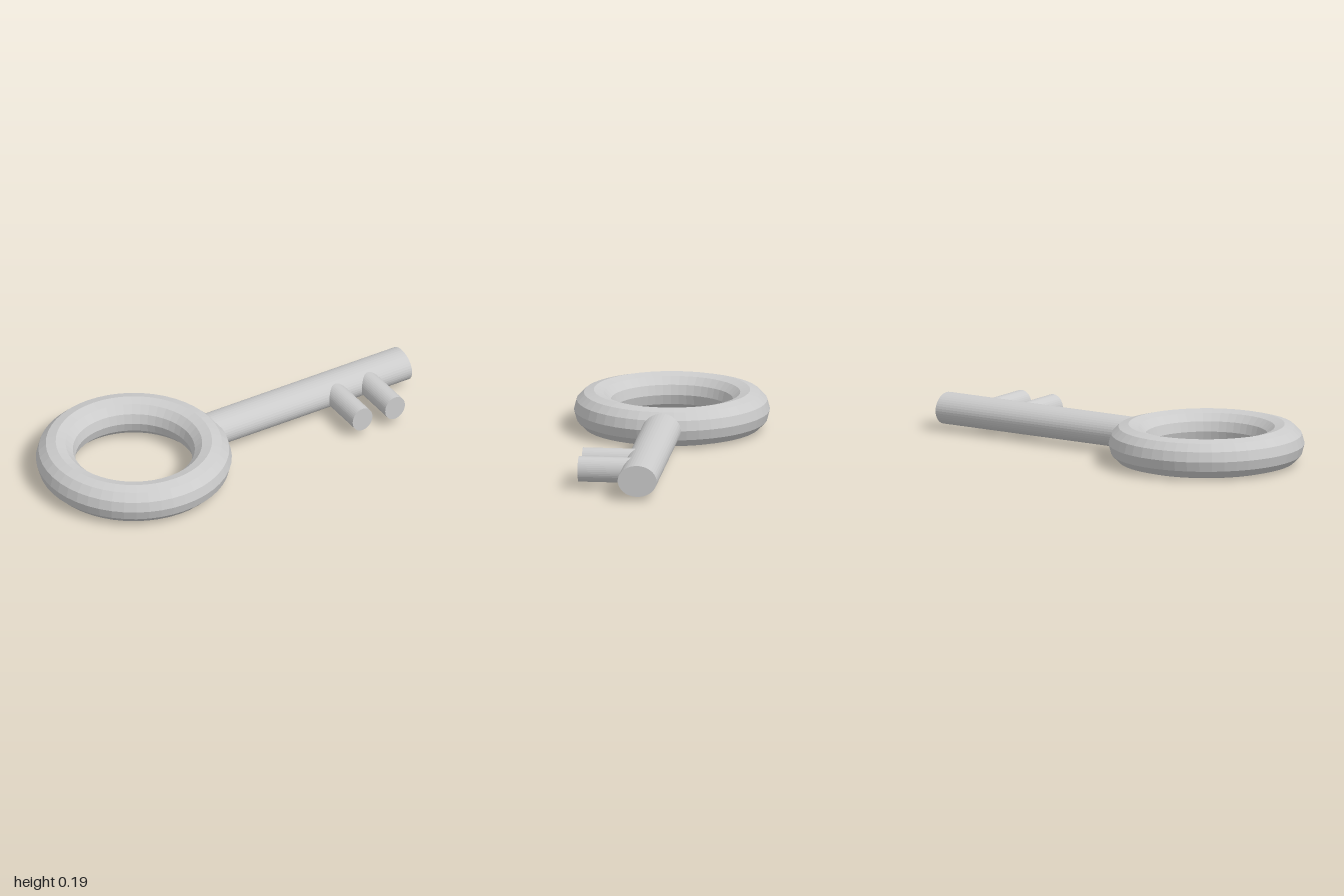
import * as THREE from 'three';

const material = new THREE.MeshStandardMaterial({ color: 0xcccccc, flatShading: true });
const MID_Y = 0.096;

function addMesh(parent, name, geometry, x, y, z) {
  const mesh = new THREE.Mesh(geometry, material);
  mesh.name = name;
  mesh.position.set(x, y, z);
  parent.add(mesh);
  return mesh;
}

export function createModel() {
  const key = new THREE.Group();
  key.name = 'key';

  // Ring handle lying flat
  const ring = new THREE.TorusGeometry(0.379, 0.096, 12, 48).rotateX(Math.PI / 2);
  addMesh(key, 'ringHandle', ring, -0.525, MID_Y, 0);

  // Oval shaft, its inner end buried in the ring
  const start = -0.15, end = 1;
  const shaft = new THREE.CylinderGeometry(1, 1, end - start, 40)
    .rotateZ(-Math.PI / 2)
    .scale(1, 0.077, 0.095);
  addMesh(key, 'shaft', shaft, (start + end) / 2, MID_Y + 0.001, 0);

  // Two oval teeth pointing forward from the shaft
  const bitLength = 0.31;
  for (const [name, x] of [['innerTooth', 0.585], ['outerTooth', 0.77]]) {
    const tooth = new THREE.CylinderGeometry(1, 1, bitLength, 40)
      .rotateX(Math.PI / 2)
      .scale(0.056, 0.062, 1);
    addMesh(key, name, tooth, x, MID_Y + 0.001, bitLength / 2);
  }

  return key;
}
